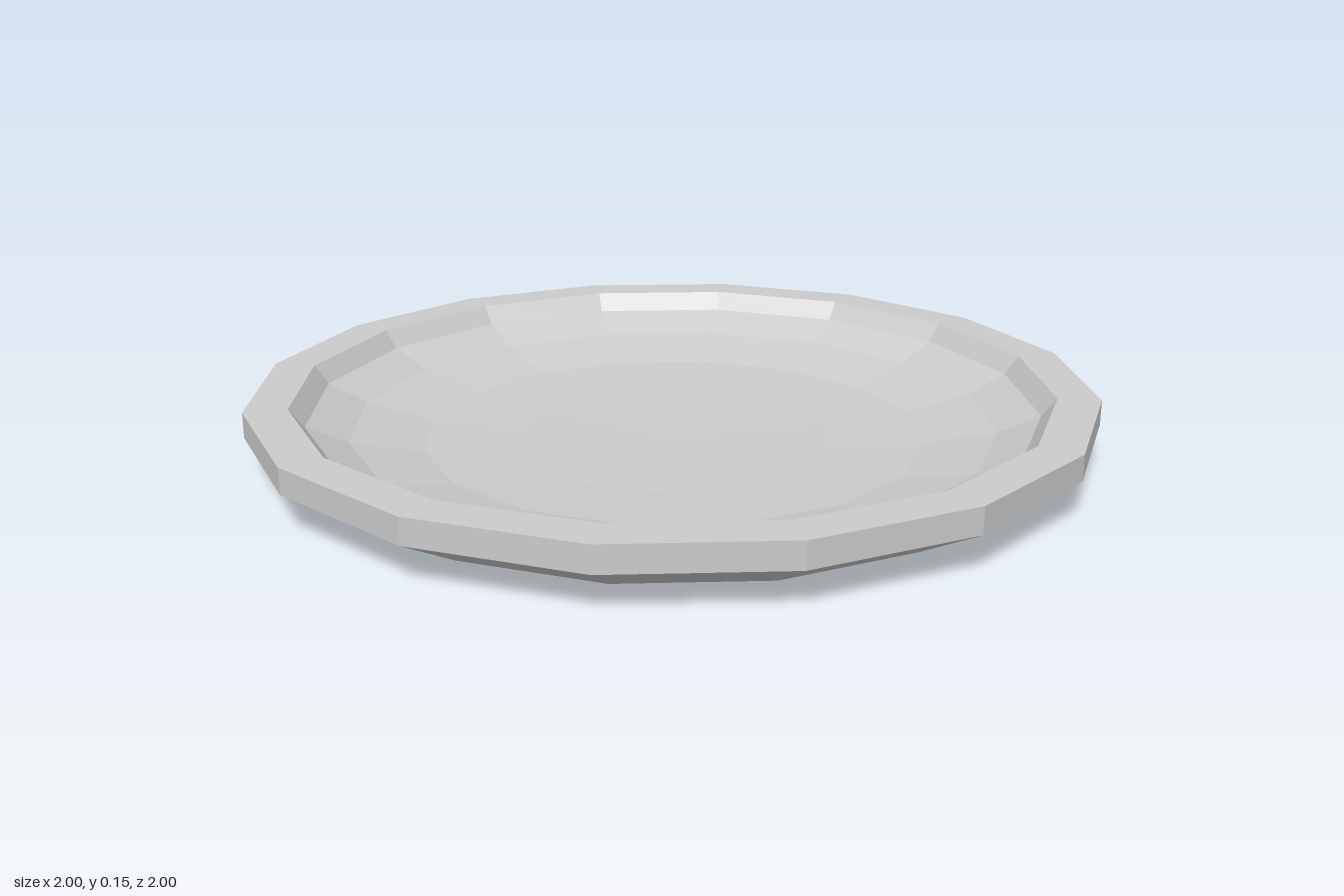
import * as THREE from 'three';

export function createModel() {
  const group = new THREE.Group();
  group.name = 'plate';
  const material = new THREE.MeshStandardMaterial({ color: 0xcccccc, flatShading: true });

  // Turns a radius/height profile into a 16-sided part
  const turn = (name, profile) => {
    const points = profile.map(([r, y]) => new THREE.Vector2(r, y));
    const mesh = new THREE.Mesh(new THREE.LatheGeometry(points, 16), material);
    mesh.name = name;
    group.add(mesh);
  };

  // Flat base and sloping underside
  turn('underside', [[0, 0], [0.84, 0], [1, 0.09]]);
  // Upright edge and flat lip
  turn('rim', [[1, 0.09], [1, 0.15], [0.9, 0.15]]);
  // Hollow: steep at the lip, easing to a nearly flat floor
  turn('hollow', [[0.9, 0.15], [0.866, 0.105], [0.77, 0.06], [0.6, 0.024], [0.38, 0.013], [0, 0.008]]);

  return group;
}
